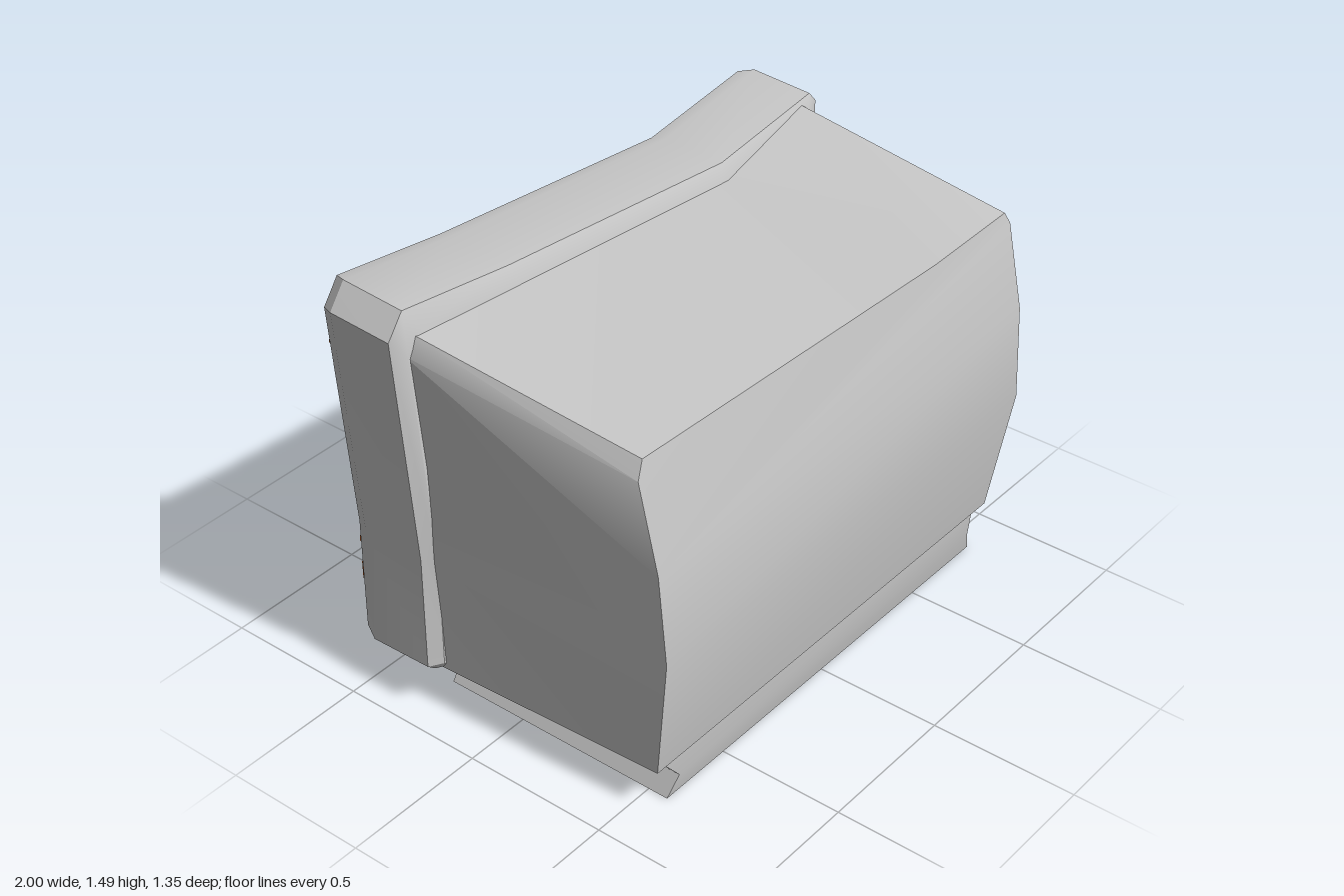
import * as THREE from 'three';
import { toCreasedNormals } from 'three/addons/utils/BufferGeometryUtils.js';

const grey = new THREE.MeshStandardMaterial({ color: 0xc8c8c8 });
grey.name = 'grey casing';
const orange = new THREE.MeshStandardMaterial({ color: 0xbc5c22 });
orange.name = 'orange knobs';

function part(name, geometry, material, crease = 0.5) {
  const mesh = new THREE.Mesh(toCreasedNormals(geometry, crease), material);
  mesh.name = name;
  return mesh;
}

// Skins matching rings of [x, y, z]; caps are lists of ring-index polygons
function loft(rings, startCap = [], endCap = []) {
  const n = rings[0].length;
  const index = [];
  for (let r = 0; r < rings.length - 1; r++) {
    for (let i = 0; i < n; i++) {
      const j = (i + 1) % n;
      const a = r * n + i, b = r * n + j, c = b + n, d = a + n;
      index.push(a, b, c, a, c, d);
    }
  }
  const last = (rings.length - 1) * n;
  const fan = (poly, offset, flip) => {
    for (let k = 1; k < poly.length - 1; k++) {
      const [p, q] = flip ? [poly[k + 1], poly[k]] : [poly[k], poly[k + 1]];
      index.push(offset + poly[0], offset + p, offset + q);
    }
  };
  startCap.forEach((p) => fan(p, 0, true));
  endCap.forEach((p) => fan(p, last, false));
  const g = new THREE.BufferGeometry();
  g.setAttribute('position', new THREE.Float32BufferAttribute(rings.flat(2), 3));
  g.setIndex(index);
  return g;
}

// Tapered cabinet with a bulging panel at +z
function cabinet() {
  const near = [[-0.88, 0.165], [0.86, 0.165], [0.9, 0.62], [0.92, 0.93], [0.95, 1.31], [0.91, 1.355],
    [0.5, 1.265], [-0.92, 1.39], [-0.95, 1.33], [-0.91, 0.93], [-0.9, 0.62]].map(([x, y]) => [x, y, -0.23]);
  const far = [[-0.85, 0.17, 0.6], [0.86, 0.17, 0.6], [0.88, 0.62, 0.675], [0.9, 0.93, 0.65], [0.9, 1.22, 0.59],
    [0.88, 1.26, 0.58], [0.5, 1.255, 0.585], [-0.87, 1.285, 0.57], [-0.9, 1.23, 0.58], [-0.89, 0.93, 0.64], [-0.88, 0.62, 0.66]];
  return loft([near, far], [], [[0, 1, 2, 10], [10, 2, 3, 9], [9, 3, 4, 5, 6, 7, 8]]);
}

// Crooked chamfered frame with the recessed panel
function frame() {
  const outline = [[-0.9, 0.165], [0.88, 0.165], [0.9, 0.19], [0.935, 0.6], [0.995, 1.355], [0.96, 1.395],
    [0.5, 1.335], [-0.5, 1.43], [-0.94, 1.49], [-1, 1.41], [-0.93, 0.6], [-0.93, 0.19]];
  // x scale, x shift, bottom, y scale, z
  const steps = [[0.89, 0.02, 0.245, 0.845, -0.485], [0.9, 0.02, 0.225, 0.87, -0.524], [0.945, 0.005, 0.2, 0.92, -0.528],
    [0.975, 0, 0.178, 0.975, -0.51], [1, 0, 0.16, 1, -0.46], [1, 0, 0.165, 0.985, -0.235], [0.955, 0, 0.17, 0.93, -0.205]];
  const caps = [[0, 1, 2, 11], [11, 2, 3, 10], [10, 3, 4, 5, 6], [10, 6, 7, 8, 9]];
  const rings = steps.map(([sx, dx, y0, sy, z]) => outline.map(([x, y]) => [x * sx + dx, y0 + (y - 0.165) * sy, z]));
  return loft(rings, caps, caps);
}

// Eight-cornered bulging glass with a bevelled rim
const screenOutline = [[-0.39, 0.35], [0.63, 0.41], [0.74, 0.47], [0.79, 1.1], [0.7, 1.22], [-0.42, 1.31], [-0.61, 1.09], [-0.6, 0.44]];
function screenRings(steps) {
  return steps.map(([s, z]) => screenOutline.map(([x, y]) => [0.09 + (x - 0.09) * s, 0.79 + (y - 0.79) * s, z]));
}

// Waisted plinth
function plinth() {
  const ring = ([y, x0, x1, z0, z1]) => [[x0, y, z1], [x1, y, z1], [x1, y, z0], [x0, y, z0]];
  const quad = [[0, 1, 2, 3]];
  return loft([[0, -0.77, 0.82, -0.29, 0.57], [0.075, -0.73, 0.79, -0.285, 0.585],
    [0.17, -0.81, 0.8, -0.29, 0.59]].map(ring), quad, quad);
}

// Box whose vertices are moved by a rule
function shapedBox(w, h, d, rule) {
  const g = new THREE.BoxGeometry(w, h, d);
  const p = g.attributes.position;
  for (let i = 0; i < p.count; i++) p.setXYZ(i, ...rule(p.getX(i), p.getY(i), p.getZ(i)));
  return g;
}

// Turned part whose axis points to -z
function turned(profile, sides) {
  return new THREE.LatheGeometry(profile.map(([r, h]) => new THREE.Vector2(r, h)), sides).rotateX(-Math.PI / 2);
}

export function createModel() {
  const group = new THREE.Group();
  group.name = 'television';
  group.add(part('cabinet', cabinet(), grey));
  group.add(part('frame', frame(), grey));
  group.add(part('plinth', plinth(), grey, 0.3));

  const whole = [[0, 1, 2, 3, 4, 5, 6, 7]];
  group.add(part('screenRim', loft(screenRings([[0.93, -0.535], [1, -0.522], [1, -0.475]])), grey, 0.3));
  group.add(part('screenGlass', loft(screenRings([[0.3, -0.625], [0.56, -0.617], [0.76, -0.577], [0.93, -0.535]]), whole), grey, 0.6));

  // Channel dial
  const dial = new THREE.Group();
  dial.name = 'dial';
  dial.position.set(-0.755, 1.205, -0.47);
  dial.add(part('dialRing', turned([[0.11, 0], [0.12, 0.06], [0.145, 0.09], [0.14, 0.12], [0.11, 0.13], [0.095, 0.09]], 8), orange, 0.2));
  dial.add(part('dialHub', turned([[0.1, 0.09], [0.07, 0.105], [0.04, 0.115], [0.04, 0.155], [0, 0.155]], 8), grey, 0.3));
  const flare = (x, y, z) => (z < 0 ? [x * 1.8, y * 1.7, z] : [x, y, z]);
  const grip = part('dialGrip', shapedBox(0.05, 0.07, 0.07, flare), orange, 0.2);
  grip.position.z = -0.172;
  grip.rotation.z = 0.15;
  dial.add(grip);
  group.add(dial);

  // Control sliders, slimmer towards the screen
  const slim = (x, y, z) => [z < 0 ? x * 0.85 : x, (x > 0 ? y * 0.5 : y) + (z < 0 ? 0.015 : 0), z];
  [[0.7, 0.05], [0.47, -0.2], [0.335, 0]].forEach(([y, tilt], i) => {
    const knob = part('slider' + (i + 1), shapedBox(0.14, 0.065, 0.1, slim), orange, 0.2);
    knob.position.set(-0.79, y, -0.525);
    knob.rotation.z = tilt;
    group.add(knob);
  });
  return group;
}
